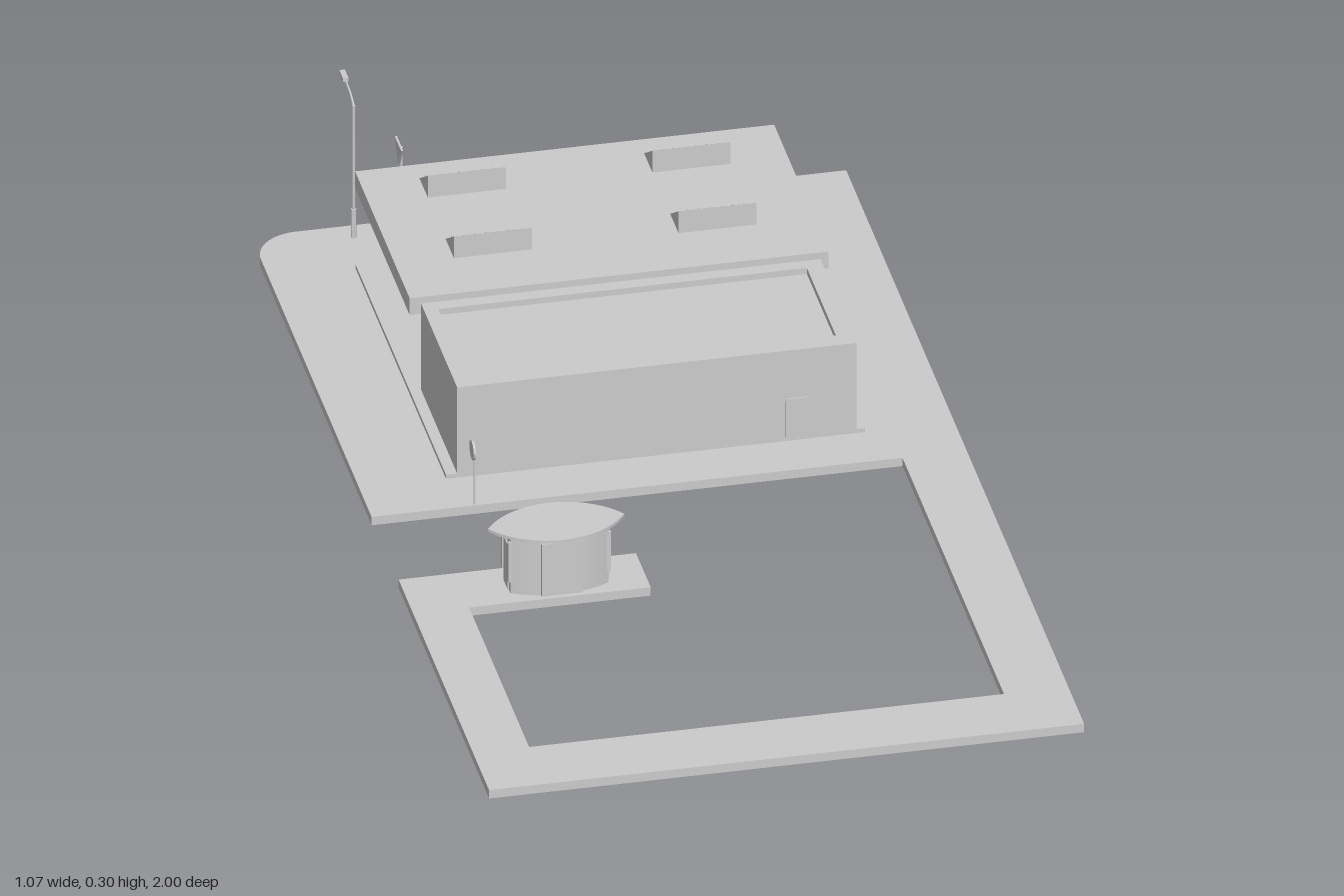
import * as THREE from 'three';

const mat = new THREE.MeshStandardMaterial({ color: 0xcccccc, flatShading: true });
const thin = new THREE.MeshStandardMaterial({ color: 0xcccccc, side: THREE.DoubleSide });

export function createModel() {
  const root = new THREE.Group();
  root.name = 'fillingStation';

  const add = (name, geo, x = 0, y = 0, z = 0, parent = root, m = mat) => {
    const mesh = new THREE.Mesh(geo, m);
    mesh.name = name;
    mesh.position.set(x, y, z);
    parent.add(mesh);
    return mesh;
  };
  // Box given by its limits on each axis
  const box = (name, x0, x1, y0, y1, z0, z1, parent = root) =>
    add(name, new THREE.BoxGeometry(x1 - x0, y1 - y0, z1 - z0),
      (x0 + x1) / 2, (y0 + y1) / 2, (z0 + z1) / 2, parent);
  const pole = (name, x, z, y0, y1, r, parent = root) =>
    add(name, new THREE.CylinderGeometry(r, r, y1 - y0, 8), x, (y0 + y1) / 2, z, parent);
  const group = (name, x = 0, y = 0, z = 0) => {
    const g = new THREE.Group();
    g.name = name;
    g.position.set(x, y, z);
    root.add(g);
    return g;
  };
  const rect = (C, x0, x1, y0, y1) =>
    new C([[x0, y0], [x1, y0], [x1, y1], [x0, y1]].map(p => new THREE.Vector2(...p)));
  const extrude = (shape, depth) =>
    new THREE.ExtrudeGeometry(shape, { depth, bevelEnabled: false, curveSegments: 12 });
  // Plan shapes use (x, -z) and rise along y; side shapes use (-z, y) and run along x
  const plan = (shape, h) => extrude(shape, h).rotateX(-Math.PI / 2);
  const side = (shape, w) => extrude(shape, w).rotateY(Math.PI / 2);

  // Pavement: forecourt with one rounded corner and a strip around the open yard
  const g = new THREE.Shape();
  g.moveTo(-0.535, -0.04);
  [[0.415, -0.04], [0.415, -0.87], [-0.435, -0.87], [-0.435, -0.38], [-0.11, -0.38],
    [-0.11, -0.26], [-0.535, -0.26], [-0.535, -1], [0.53, -1], [0.53, 0.945], [-0.455, 0.945]]
    .forEach(p => g.lineTo(...p));
  g.absarc(-0.455, 0.865, 0.08, Math.PI / 2, Math.PI, false);
  g.closePath();
  g.holes.push(rect(THREE.Path, -0.38, 0.37, 0.06, 0.8));
  add('pavement', plan(g, 0.017));
  box('forecourtSlab', -0.38, 0.37, 0.01, 0.025, -0.8, -0.06);

  // Shop: outer walls, glazed end, parapet and sunken roof
  const shop = group('shop');
  const wall = (name, w, x, z, turn) => {
    const m = add(name, new THREE.PlaneGeometry(w, 0.175), x, 0.1125, z, shop);
    m.rotation.y = turn;
  };
  wall('frontWall', 0.715, -0.0025, -0.06, 0);
  wall('backWall', 0.715, -0.0025, -0.355, Math.PI);
  wall('rightWall', 0.295, -0.36, -0.2075, -Math.PI / 2);
  const end = rect(THREE.Shape, 0.06, 0.355, 0.025, 0.2);
  end.holes.push(rect(THREE.Path, 0.09, 0.325, 0.028, 0.165));
  add('glazedEndWall', side(end, 0.02), 0.335, 0, 0, shop);
  const parapet = rect(THREE.Shape, -0.36, 0.355, 0.06, 0.355);
  parapet.holes.push(rect(THREE.Path, -0.335, 0.325, 0.093, 0.33));
  add('parapet', plan(parapet, 0.02), 0, 0.18, 0, shop);
  box('shopRoof', -0.35, 0.335, 0.178, 0.188, -0.345, -0.07, shop);
  for (let i = 0; i < 5; i++) {
    const z = -0.09 - i * 0.05875;
    box('windowMullion', 0.341, 0.349, 0.025, 0.165, z - 0.003, z + 0.003, shop);
  }
  for (const y of [0.03, 0.08, 0.115, 0.135])
    box('windowTransom', 0.341, 0.349, y - 0.003, y + 0.003, -0.325, -0.09, shop);
  const door = new THREE.Shape();
  door.moveTo(0.228, 0.025);
  door.lineTo(0.272, 0.025);
  door.lineTo(0.272, 0.095);
  door.quadraticCurveTo(0.272, 0.103, 0.264, 0.103);
  door.lineTo(0.236, 0.103);
  door.quadraticCurveTo(0.228, 0.103, 0.228, 0.095);
  add('serviceDoor', extrude(door, 0.003), 0, 0, -0.06, shop);

  // Canopy with sloping roof panels
  box('canopy', -0.38, 0.37, 0.178, 0.212, -0.803, -0.357);
  const wedge = new THREE.Shape();
  wedge.moveTo(0, 0);
  wedge.lineTo(0.068, 0);
  wedge.lineTo(0, 0.044);
  wedge.closePath();
  for (const x of [-0.275, 0.127]) for (const z of [-0.475, -0.688]) {
    const panel = group('roofPanel', x, 0.212, z);
    add('panelWedge', side(wedge, 0.14), 0, 0, 0, panel);
    for (let i = 0; i < 7; i++)
      add('panelClip', new THREE.BoxGeometry(0.012, 0.004, 0.004),
        0.01 + i * 0.02, 0.023, -0.034, panel);
  }

  // Canopy columns, each with a fuel pump
  for (const x of [-0.19, 0, 0.19]) for (const z of [-0.5, -0.645]) {
    const p = group('pumpIsland', x, 0.025, z);
    box('canopyColumn', -0.01, 0.01, 0, 0.155, -0.008, 0.008, p);
    box('pumpBase', -0.05, 0.025, 0, 0.008, -0.02, 0.02, p);
    box('pumpBody', -0.042, -0.014, 0.008, 0.06, -0.011, 0.011, p);
    box('pumpHead', -0.044, -0.01, 0.06, 0.078, -0.013, 0.013, p);
    const hose = new THREE.CatmullRomCurve3([[-0.042, 0.06, 0], [-0.058, 0.045, 0],
      [-0.055, 0.02, 0], [-0.042, 0.03, 0]].map(v => new THREE.Vector3(...v)));
    add('pumpHose', new THREE.TubeGeometry(hose, 10, 0.002, 5), 0, 0, 0, p);
  }

  // Kiosk: lens-shaped roof over a curved body with flat ends
  const kiosk = group('kiosk', -0.266, 0, 0.32);
  const lens = (halfX, halfZ, cut) => {
    const s = new THREE.Shape();
    const r = (halfX * halfX + halfZ * halfZ) / (2 * halfZ);
    const a = Math.asin(cut / r), c = r - halfZ;
    s.absarc(0, -c, r, Math.PI / 2 - a, Math.PI / 2 + a, false);
    s.absarc(0, c, r, Math.PI * 1.5 - a, Math.PI * 1.5 + a, false);
    s.closePath();
    return s;
  };
  add('kioskRoof', plan(lens(0.122, 0.065, 0.122), 0.006), 0, 0.13, 0, kiosk);
  add('kioskBody', plan(lens(0.125, 0.05, 0.088), 0.113), 0, 0.017, 0, kiosk);
  box('kioskDoor', -0.037, 0.037, 0.017, 0.122, 0.04, 0.051, kiosk);
  for (const s of [-1, 1]) {
    for (const t of [-1, 1])
      box('kioskPost', s * 0.088 - 0.004, s * 0.088 + 0.004, 0.04, 0.12,
        t * 0.026 - 0.003, t * 0.026 + 0.003, kiosk);
    box('kioskEndPanel', s * 0.089 - 0.002, s * 0.089 + 0.002, 0.02, 0.11, -0.016, 0.016, kiosk);
  }

  // Street lamp reaching out over the back edge
  const lamp = group('streetLamp', -0.36, 0, -0.905);
  pole('lampPole', 0, 0, 0.017, 0.285, 0.003, lamp);
  pole('lampBase', 0, 0, 0.017, 0.075, 0.005, lamp);
  const arm = new THREE.CatmullRomCurve3([[0, 0.283, 0], [0, 0.292, -0.02], [0, 0.298, -0.07]]
    .map(v => new THREE.Vector3(...v)));
  add('lampArm', new THREE.TubeGeometry(arm, 10, 0.002, 6), 0, 0, 0, lamp);
  box('lampHead', -0.005, 0.005, 0.295, 0.302, -0.095, -0.065, lamp);

  // Triangular road sign with a small plate below
  const sign = group('triangleSign', -0.275, 0, -0.905);
  pole('signPole', 0, 0, 0.017, 0.19, 0.003, sign);
  const tri = new THREE.Shape();
  tri.moveTo(0, 0.155);
  tri.lineTo(0.026, 0.197);
  tri.lineTo(-0.026, 0.197);
  tri.closePath();
  add('signTriangle', side(tri, 0.004), -0.006, 0, 0, sign);
  box('signPlate', -0.006, -0.002, 0.108, 0.132, -0.012, 0.012, sign);

  // Round road sign
  const round = group('roundSign', -0.35, 0, 0.035);
  pole('signPole', 0, 0, 0.017, 0.125, 0.002, round);
  add('signDisc', new THREE.CylinderGeometry(0.018, 0.018, 0.004, 20).rotateZ(Math.PI / 2),
    -0.003, 0.127, 0, round, thin);

  return root;
}
